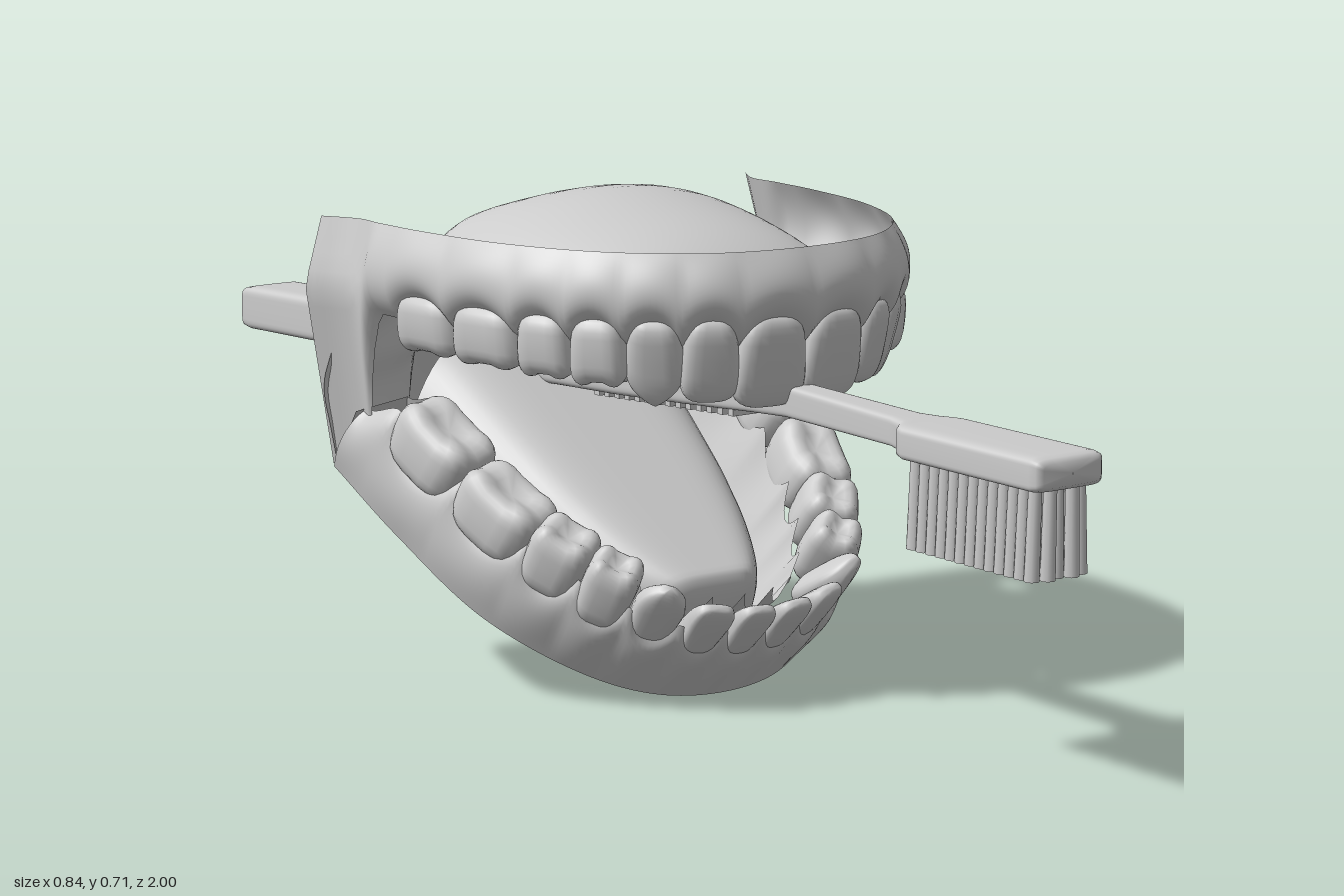
import * as THREE from 'three';
import { ParametricGeometry } from 'three/addons/geometries/ParametricGeometry.js';
import { mergeVertices } from 'three/addons/utils/BufferGeometryUtils.js';

const skin = new THREE.MeshStandardMaterial({ color: 0xcccccc, side: THREE.DoubleSide });
const { lerp, smoothstep } = THREE.MathUtils;

function add(parent, name, geometry) {
  const mesh = new THREE.Mesh(geometry, skin);
  mesh.name = name;
  parent.add(mesh);
  return mesh;
}

// Open sheet from a rule (u, v) -> [x, y, z]
function sheet(rule, nu, nv) {
  const g = new ParametricGeometry((u, v, p) => p.set(...rule(u, v)), nu, nv);
  g.computeVertexNormals();
  return g;
}

// Mirrored dental arch; at(s, out) gives the point at signed length s from the front
function makeArch(half) {
  const right = half.map(([x, z]) => new THREE.Vector3(x, 0, z));
  const left = half.slice(1).reverse().map(([x, z]) => new THREE.Vector3(-x, 0, z));
  const curve = new THREE.CatmullRomCurve3([...left, ...right]);
  const length = curve.getLength();
  return {
    length,
    at(s, out = 0) {
      const u = THREE.MathUtils.clamp(0.5 + s / length, 0, 1);
      const p = curve.getPointAt(u), t = curve.getTangentAt(u);
      return { x: p.x - t.z * out, z: p.z + t.x * out, angle: Math.atan2(-t.z, t.x) };
    },
  };
}

// 0 at the middle of a tooth, 1 between two teeth
function gapAt(a, widths) {
  let start = 0;
  for (const w of widths) {
    if (a < start + w) return (((a - start) / w) * 2 - 1) ** 2;
    start += w;
  }
  return 1;
}

// Crown shaped from a sphere: incisor blade, pointed canine or cusped molar
function toothGeometry(w, h, d, kind, neck) {
  const g = new THREE.SphereGeometry(1, 22, 16);
  const pos = g.attributes.position;
  const box = (n) => Math.sign(n) * Math.abs(n) ** 0.6;
  for (let i = 0; i < pos.count; i++) {
    const x = box(pos.getX(i)), z = box(pos.getZ(i));
    let y = box(pos.getY(i));
    const t = (y + 1) / 2;
    let sx = lerp(neck, 1.06, t), sz = 1 - 0.6 * t;
    if (kind === 'canine') y -= 0.4 * Math.abs(x) * t;
    if (kind === 'molar') {
      sx = lerp(0.92, 1.05, t);
      sz = 1 - 0.18 * t * t;
      y -= 0.22 * t * t * (Math.exp(-7 * x * x) + Math.exp(-7 * z * z));
    }
    pos.setXYZ(i, x * sx * w / 2, y * h / 2, z * sz * d / 2);
  }
  g.deleteAttribute('uv');
  g.deleteAttribute('normal');
  const smooth = mergeVertices(g, 1e-5);
  smooth.computeVertexNormals();
  return smooth;
}

const kinds = ['incisor', 'incisor', 'canine', 'molar', 'molar', 'molar', 'molar'];

// Both halves of a row of teeth; dir is +1 for crowns up, -1 for crowns down
function addTeeth(parent, name, arch, o, dir) {
  const row = new THREE.Group();
  row.name = name;
  let start = 0;
  o.widths.forEach((w, i) => {
    const h = Math.abs(o.tips[i] - o.base), d = o.depths[i];
    const geometry = toothGeometry(w, h, d, kinds[i], o.neck);
    for (const side of [-1, 1]) {
      const p = arch.at(side * (start + w / 2), o.out[i] - d / 2);
      const tooth = add(row, kinds[i], geometry);
      tooth.position.set(p.x, (o.tips[i] + o.base) / 2, p.z);
      tooth.rotation.set(i < 3 ? o.tilt : 0, p.angle, dir < 0 ? Math.PI : 0, 'YXZ');
    }
    start += w;
  });
  parent.add(row);
}

function upperJaw() {
  const jaw = new THREE.Group();
  jaw.name = 'upperJaw';
  const arch = makeArch([[0, 0.455], [0.15, 0.425], [0.27, 0.325], [0.345, 0.17],
    [0.375, 0], [0.383, -0.13], [0.395, -0.17], [0.42, -0.21]]);
  const widths = [0.115, 0.085, 0.085, 0.085, 0.09, 0.125, 0.125];
  const total = widths.reduce((a, b) => a + b);
  // Gum band whose rear ends drop into the cheeks
  add(jaw, 'upperGum', sheet((u, v) => {
    const s = (u - 0.5) * arch.length, a = Math.abs(s);
    const cheek = smoothstep(a, total + 0.045, total + 0.1);
    const gap = gapAt(a, widths);
    const low = lerp(0.578 - 0.032 * gap, 0.31, cheek);
    const y = lerp(low, 0.68, v);
    const out = (1 - cheek) * (0.012 * Math.sin(Math.PI * v) - 0.018 * v * v
      - 0.02 * (1 - v) ** 6 - 0.002 * gap * (1 - v) ** 2);
    const p = arch.at(s, out);
    return [p.x * (1 - cheek * (y > 0.58 ? 0.7 : 0.4) * Math.abs(y - 0.58)), y, p.z];
  }, 200, 14));
  addTeeth(jaw, 'upperTeeth', arch, { widths, base: 0.592, neck: 0.86, tilt: 0.04,
    out: Array(7).fill(0.004),
    tips: [0.455, 0.467, 0.46, 0.482, 0.488, 0.492, 0.495],
    depths: [0.08, 0.08, 0.088, 0.092, 0.097, 0.105, 0.105] }, -1);

  // Palate and throat: half width, middle (y, z), edge (y, z), wall blend
  const rows = [
    [0.1, 0.55, 0.385, 0.55, 0.37, 0], [0.19, 0.61, 0.32, 0.55, 0.31, 0],
    [0.24, 0.66, 0.24, 0.55, 0.23, 0], [0.27, 0.692, 0.14, 0.55, 0.12, 0],
    [0.285, 0.714, 0, 0.55, 0, 0], [0.3, 0.695, -0.12, 0.54, -0.09, 0.4],
    [0.34, 0.65, -0.2, 0.53, -0.15, 1], [0.38, 0.57, -0.235, 0.5, -0.18, 1],
    [0.395, 0.505, -0.26, 0.46, -0.19, 1], [0.395, 0.482, -0.36, 0.42, -0.2, 1],
    [0.385, 0.4, -0.4, 0.37, -0.2, 1], [0.37, 0.265, -0.43, 0.3, -0.2, 1]];
  const mid = new THREE.CatmullRomCurve3(rows.map((r) => new THREE.Vector3(r[1], r[2], r[0])));
  const edge = new THREE.CatmullRomCurve3(rows.map((r) => new THREE.Vector3(r[3], r[4], r[5])));
  add(jaw, 'palateAndThroat', sheet((u, v) => {
    const m = mid.getPoint(v), e = edge.getPoint(v), th = (u - 0.5) * Math.PI;
    const x = m.z * Math.sin(th), bulge = lerp(0.25, 0.18, smoothstep(v, 0.55, 0.85));
    const wall = 1 / (1 + (Math.abs(x) / bulge) ** 6);
    const k = lerp(Math.cos(th), wall, THREE.MathUtils.clamp(e.z, 0, 1));
    return [x, lerp(e.x, m.x, k), lerp(e.y, m.y, k)];
  }, 56, 44));
  const uvula = add(jaw, 'uvula', new THREE.SphereGeometry(0.028, 16, 12));
  uvula.scale.y = 1.6;
  uvula.position.set(0, 0.435, -0.32);
  return jaw;
}

function lowerJaw() {
  const jaw = new THREE.Group();
  jaw.name = 'lowerJaw';
  const arch = makeArch([[0, 0.54], [0.11, 0.522], [0.2, 0.465], [0.3, 0.33],
    [0.35, 0.145], [0.375, -0.01]]);
  const widths = [0.063, 0.066, 0.075, 0.08, 0.095, 0.145, 0.15];
  const end = arch.length / 2;
  const top = (a) => (0.158 - 0.042 * (1 - gapAt(a, widths)))
    * (1 - 0.3 * smoothstep(a, end - 0.06, end));
  const inset = (a) => lerp(0.045, 0.1, smoothstep(a, 0.05, 0.45));
  // Outer gum, flaring to the front with faint root ridges
  add(jaw, 'lowerGum', sheet((u, v) => {
    const s = (u - 0.5) * arch.length, a = Math.abs(s), gap = gapAt(a, widths);
    const front = 1 - smoothstep(a, 0.1, 0.5);
    const out = 0.034 * front * v + 0.01 * Math.sin(Math.PI * v) * (1 - front)
      - 0.006 * gap * v * v - 0.016 * v ** 8;
    const p = arch.at(s, out);
    return [p.x, top(a) * v, p.z];
  }, 200, 12));
  // Inner gum falling to the rim of the tongue
  add(jaw, 'innerGum', sheet((u, v) => {
    const s = (u - 0.5) * arch.length, a = Math.abs(s);
    const p = arch.at(s, -inset(a) - 0.03 * v);
    return [p.x, lerp(top(a), 0.02, v), p.z];
  }, 140, 6));
  // Gum closing the arch behind the last molars
  for (const side of [-1, 1])
    add(jaw, 'gumEnd', sheet((u, v) => {
      const p = arch.at(side * end, -u * (0.13 - 0.03 * v));
      return [p.x, lerp(0.02 * u, top(end), v), p.z];
    }, 4, 4));
  addTeeth(jaw, 'lowerTeeth', arch, { widths, base: 0.09, neck: 0.78, tilt: 0.32,
    out: [0.04, 0.039, 0.036, 0.022, 0.014, 0.012, 0.012],
    tips: [0.208, 0.208, 0.222, 0.208, 0.205, 0.2, 0.2],
    depths: [0.06, 0.062, 0.075, 0.09, 0.1, 0.115, 0.12] }, 1);
  // Tongue: a full rounded top over a nearly flat underside, straight at the back
  const tongue = (height) => sheet((u, v) => {
    const a = v * end, c = Math.sin((u - 0.5) * Math.PI);
    const p = arch.at(a, -inset(a) - 0.03), back = smoothstep(v, 0.65, 1);
    const dome = height * smoothstep(v, 0, 0.22) * (1 - c ** 6);
    return [Math.max(p.x, 0) * c, 0.02 + dome, p.z - 0.09 * back * (1 - c ** 4)];
  }, 40, 40);
  add(jaw, 'tongueTop', tongue(0.115));
  add(jaw, 'tongueUnderside', tongue(0.015));
  jaw.rotation.x = 0.588;
  jaw.position.set(0, 0.3, -0.2);
  return jaw;
}

function toothbrush() {
  const brush = new THREE.Group();
  brush.name = 'toothbrush';
  // Stations: z, centre y, half width, half height
  const st = [[1, 0.452, 0.001, 0.001], [1, 0.452, 0.05, 0.016], [0.992, 0.452, 0.058, 0.022],
    [0.98, 0.452, 0.06, 0.024], [0.72, 0.452, 0.06, 0.024], [0.705, 0.453, 0.055, 0.023],
    [0.692, 0.455, 0.04, 0.022], [0.66, 0.456, 0.03, 0.021], [0.42, 0.46, 0.023, 0.023],
    [0.34, 0.46, 0.026, 0.028], [0.2, 0.456, 0.04, 0.033], [0.05, 0.45, 0.05, 0.036],
    [-0.2, 0.439, 0.054, 0.037], [-0.4, 0.427, 0.054, 0.037], [-0.97, 0.406, 0.054, 0.036],
    [-0.99, 0.405, 0.051, 0.033], [-1, 0.405, 0.043, 0.026], [-1, 0.405, 0.001, 0.001]];
  const sq = (n) => Math.sign(n) * Math.abs(n) ** 0.3;
  add(brush, 'handleAndHead', sheet((u, v) => {
    const [z, y, w, h] = st[Math.round(v * (st.length - 1))];
    const a = u * 2 * Math.PI;
    return [w * sq(Math.cos(a)), y + h * sq(Math.sin(a)), z];
  }, 48, st.length - 1));
  // Grip ribs under the handle
  const rib = new THREE.BoxGeometry(0.05, 0.012, 0.012);
  for (let i = 0; i < 14; i++)
    add(brush, 'gripRib', rib).position.set(0, 0.427 - i * 0.0015, 0.3 - i * 0.025);
  const bristle = new THREE.CylinderGeometry(0.009, 0.0105, 0.13, 8);
  for (let i = 0; i < 5; i++)
    for (let j = 0; j < 13; j++) {
      const b = add(brush, 'bristle', bristle);
      b.position.set((i - 2) * 0.02, 0.372, 0.73 + j * 0.02 + (i % 2) * 0.008);
      b.rotation.z = (i - 2) * 0.015;
    }
  brush.position.x = -0.004;
  return brush;
}

export function createModel() {
  const model = new THREE.Group();
  model.name = 'mouthWithToothbrush';
  model.add(upperJaw(), lowerJaw(), toothbrush());
  return model;
}
